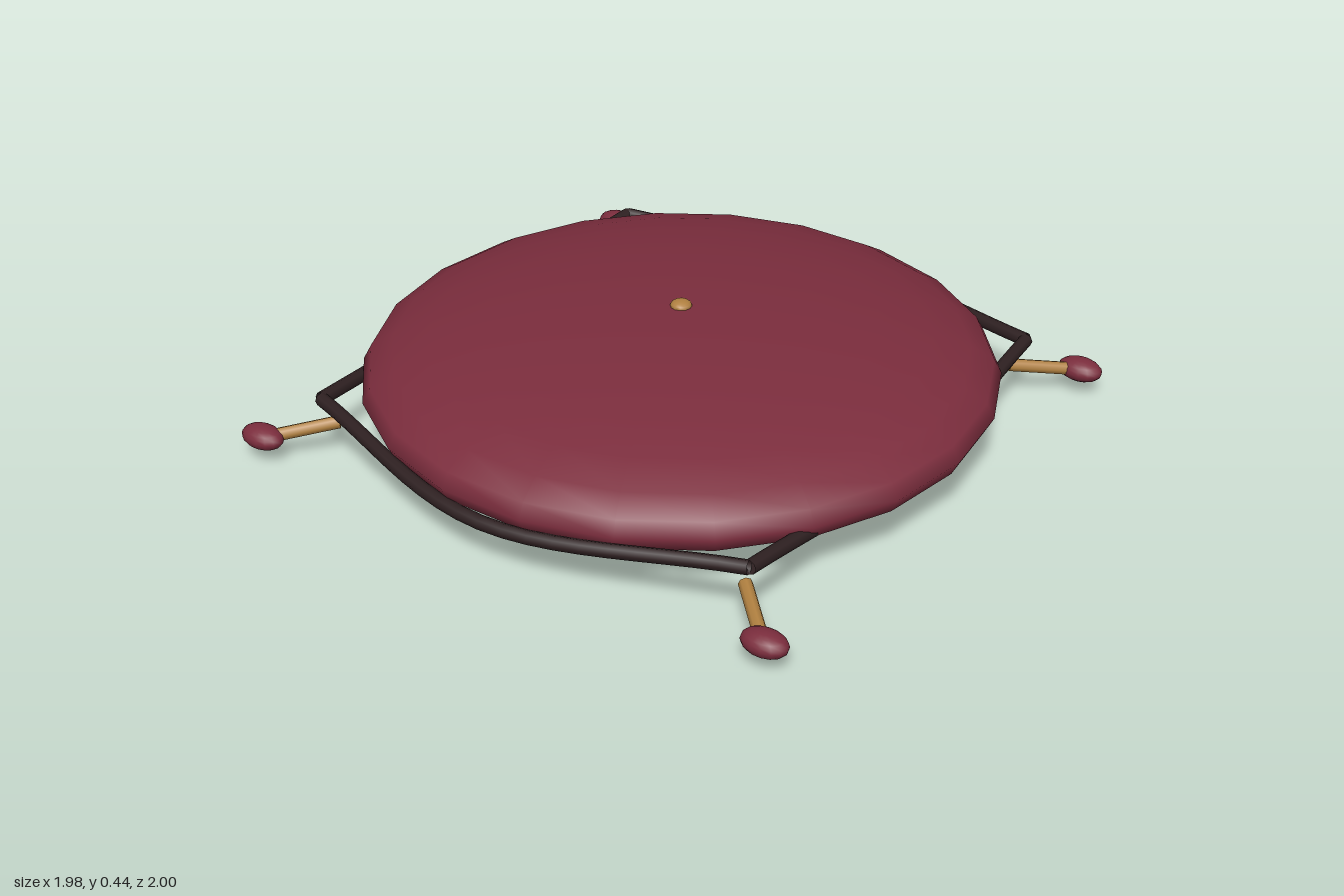
import * as THREE from 'three';

const mat = (name, color) => {
  const m = new THREE.MeshStandardMaterial({ color });
  m.name = name;
  return m;
};

export function createModel() {
  const maroon = mat('maroon cloth', 0x7b2d3d);
  const gold = mat('gold cord', 0xb08040);
  const dark = mat('dark piping', 0x2e2021);
  const root = new THREE.Group();
  root.name = 'cushion';

  const add = (name, geometry, material, parent = root) => {
    const mesh = new THREE.Mesh(geometry, material);
    mesh.name = name;
    parent.add(mesh);
    return mesh;
  };
  const ellipsoid = (rx, ry, rz, w, h) => new THREE.SphereGeometry(1, w, h).scale(rx, ry, rz);

  // Flattened pillow with a button on top
  add('pillow', ellipsoid(0.985, 0.21, 0.985, 22, 14), maroon).position.y = 0.215;
  add('button', ellipsoid(0.034, 0.018, 0.034, 12, 8), gold).position.y = 0.426;

  // Piping: four sagging cords between the corners; the side pair dips into the pillow
  const piping = (name, points) => {
    const curve = new THREE.CatmullRomCurve3(points.map((p) => new THREE.Vector3(...p)));
    add(name, new THREE.TubeGeometry(curve, 20, 0.022, 8, false), dark).material.side = THREE.DoubleSide;
  };
  for (const s of [1, -1]) {
    piping(s > 0 ? 'frontPiping' : 'backPiping',
      [[-0.78, 0.203, s * 0.78], [0, 0.157, s * 0.976], [0.78, 0.203, s * 0.78]]);
    piping(s > 0 ? 'leftPiping' : 'rightPiping',
      [[s * 0.78, 0.203, -0.78], [s * 0.83, 0.157, 0], [s * 0.78, 0.203, 0.78]]);
  }

  // Corner tassels: a short cord ending in a soft bead
  const up = new THREE.Vector3(0, 1, 0);
  for (const sx of [1, -1]) {
    for (const sz of [1, -1]) {
      const tassel = new THREE.Group();
      tassel.name = (sz > 0 ? 'front' : 'back') + (sx > 0 ? 'Left' : 'Right') + 'Tassel';
      root.add(tassel);
      const a = new THREE.Vector3(sx * 0.745, 0.118, sz * 0.745);
      const b = new THREE.Vector3(sx * 0.9, 0.085, sz * 0.895);
      const dir = b.clone().sub(a);
      const cord = add('tasselCord', new THREE.CylinderGeometry(0.021, 0.021, dir.length(), 8), gold, tassel);
      cord.position.copy(a).add(b).multiplyScalar(0.5);
      cord.quaternion.setFromUnitVectors(up, dir.normalize());
      add('tasselBead', ellipsoid(0.074, 0.037, 0.05, 14, 10), maroon, tassel)
        .position.set(sx * 0.916, 0.085, sz * 0.905);
    }
  }
  return root;
}
